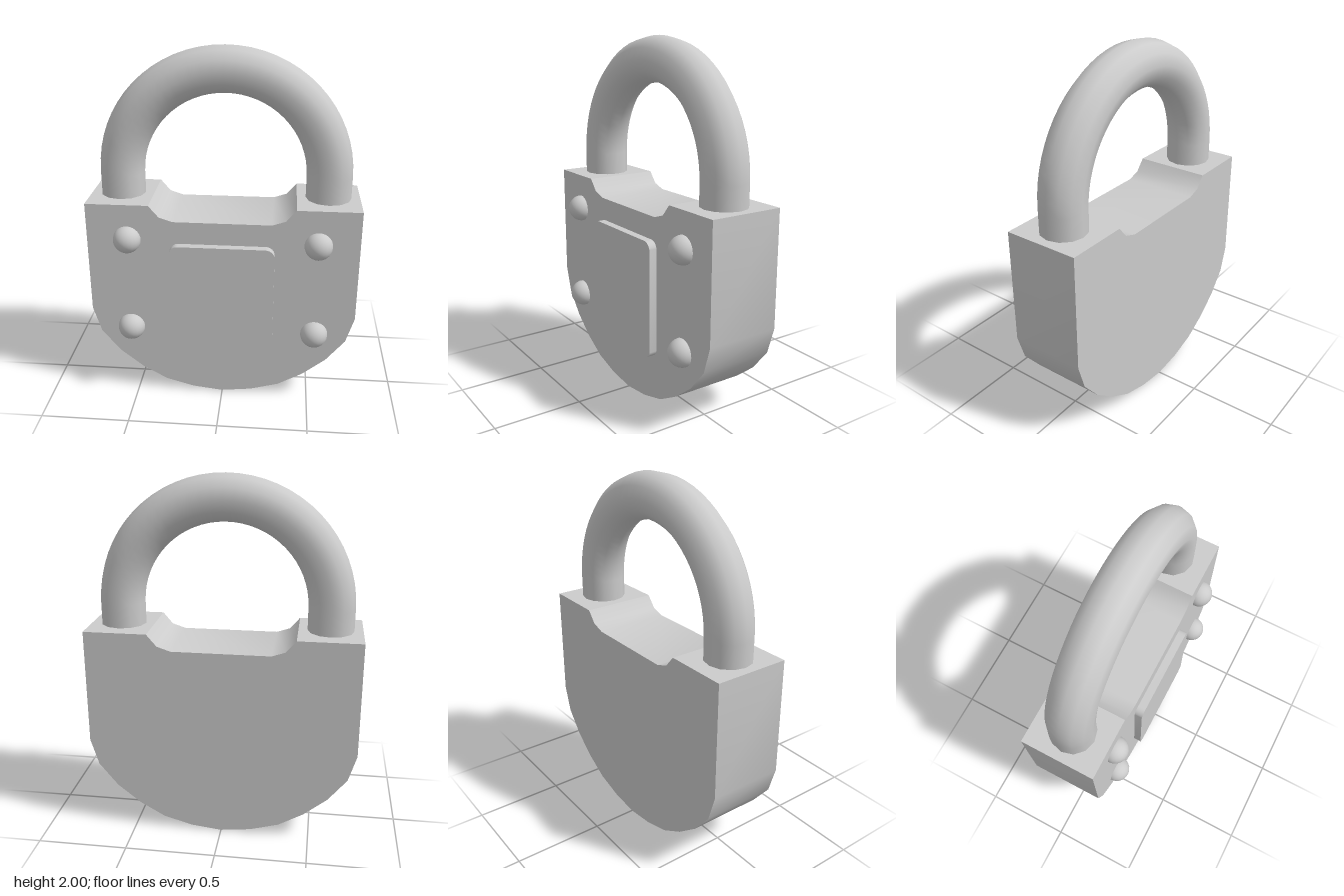
import * as THREE from 'three';
import { toCreasedNormals } from 'three/addons/utils/BufferGeometryUtils.js';

export function createModel() {
  const model = new THREE.Group();
  model.name = 'padlock';
  const material = new THREE.MeshStandardMaterial({ color: 0xcccccc });

  const add = (name, geometry, x = 0, y = 0, z = 0, parent = model) => {
    const mesh = new THREE.Mesh(geometry, material);
    mesh.name = name;
    mesh.position.set(x, y, z);
    parent.add(mesh);
    return mesh;
  };
  const extrude = (shape, depth, curveSegments = 4) => toCreasedNormals(
    new THREE.ExtrudeGeometry(shape, { depth, bevelEnabled: false, curveSegments }), 0.6);

  // Body: right half of the outline from the bottom up, mirrored to the other side
  const half = [
    [0.17, 0.02], [0.33, 0.065], [0.47, 0.145], [0.6, 0.25], [0.705, 0.38], [0.75, 0.53],
    [0.75, 1.175], [0.4, 1.175], [0.345, 1.11], [0.27, 1.085],
  ];
  const outline = [[0, 0], ...half, ...half.map(([x, y]) => [-x, y]).reverse()];
  const bodyShape = new THREE.Shape(outline.map(([x, y]) => new THREE.Vector2(x, y)));
  add('body', extrude(bodyShape, 0.423), 0, 0, -0.252);

  // Shackle: half ring on two straight legs
  const shackle = new THREE.Group();
  shackle.name = 'shackle';
  shackle.position.set(0, 1.3, -0.041);
  model.add(shackle);
  add('shackleArch', new THREE.TorusGeometry(0.575, 0.126, 12, 32, Math.PI), 0, 0, 0, shackle);
  for (const side of [-1, 1]) {
    add(side > 0 ? 'leftLeg' : 'rightLeg',
      new THREE.CylinderGeometry(0.126, 0.126, 0.2, 12, 1, true), side * 0.575, -0.1, 0, shackle);
  }

  // Front plate with rounded corners
  const w = 0.29, h = 0.33, r = 0.05;
  const plate = new THREE.Shape();
  plate.absarc(w - r, h - r, r, 0, Math.PI / 2);
  plate.absarc(r - w, h - r, r, Math.PI / 2, Math.PI);
  plate.absarc(r - w, r - h, r, Math.PI, Math.PI * 1.5);
  plate.absarc(w - r, r - h, r, Math.PI * 1.5, Math.PI * 2);
  plate.closePath();
  add('frontPlate', extrude(plate, 0.055), 0, 0.627, 0.161);

  // Four domed rivets
  const rivet = new THREE.SphereGeometry(0.077, 20, 14);
  for (const x of [-0.525, 0.525]) {
    for (const y of [0.422, 0.973]) add('rivet', rivet, x, y, 0.173);
  }
  return model;
}
